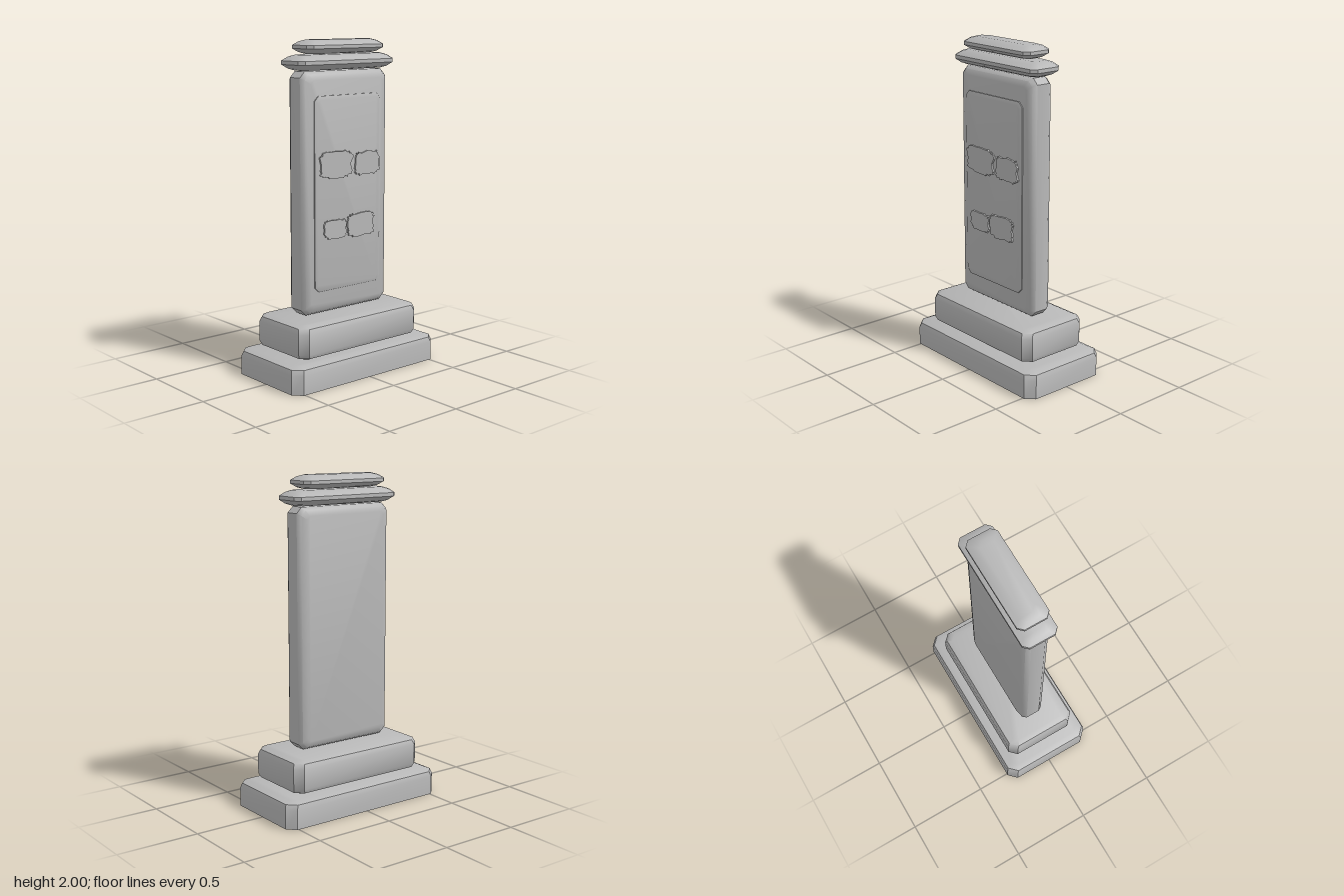
import * as THREE from 'three';
import { toCreasedNormals } from 'three/addons/utils/BufferGeometryUtils.js';

const stone = new THREE.MeshStandardMaterial({ color: 0xb8b8b8, side: THREE.DoubleSide });
stone.name = 'grey stone';

// Stacks rectangles with cut corners; each row is [y, half width, half depth, corner cut]
function loft(rows, openBottom = false) {
  const pos = [], idx = [];
  for (const [y, w, d, c] of rows) {
    const ring = [[w - c, d], [w, d - c], [w, c - d], [w - c, -d], [c - w, -d], [-w, c - d], [-w, d - c], [c - w, d]];
    for (const [x, z] of ring) pos.push(x, y, z);
  }
  const top = (rows.length - 1) * 8;
  for (let r = 0; r < top; r += 8) {
    for (let i = 0; i < 8; i++) {
      const j = (i + 1) % 8;
      idx.push(r + i, r + j, r + 8 + j, r + i, r + 8 + j, r + 8 + i);
    }
  }
  for (let i = 1; i < 7; i++) {
    idx.push(top, top + i, top + i + 1);
    if (!openBottom) idx.push(0, i + 1, i);
  }
  const g = new THREE.BufferGeometry();
  g.setAttribute('position', new THREE.Float32BufferAttribute(pos, 3));
  g.setIndex(idx);
  return toCreasedNormals(g, 0.65);
}

// Small repeatable noise for the worn edges
function seeded(seed) {
  return () => (seed = (seed * 16807) % 2147483647) / 2147483647;
}

// Worn raised patch with a ragged outline
function patch(x0, x1, y0, y1, seed) {
  const rnd = seeded(seed), n = 44, pts = [];
  const cx = (x0 + x1) / 2, cy = (y0 + y1) / 2;
  for (let i = 0; i < n; i++) {
    const a = (i / n) * Math.PI * 2, c = Math.cos(a), s = Math.sin(a);
    const k = 0.83 + 0.17 * rnd();
    pts.push(new THREE.Vector2(
      cx + Math.sign(c) * Math.abs(c) ** 0.45 * (x1 - x0) / 2 * k,
      cy + Math.sign(s) * Math.abs(s) ** 0.45 * (y1 - y0) / 2 * k));
  }
  const g = new THREE.ExtrudeGeometry(new THREE.Shape(pts), { depth: 0.013, bevelEnabled: false });
  return g.translate(0, 0, 0.098);
}

export function createModel() {
  const group = new THREE.Group();
  const add = (name, geometry) => {
    const mesh = new THREE.Mesh(geometry, stone);
    mesh.name = name;
    group.add(mesh);
    return mesh;
  };

  // Hollow foot, open underneath
  add('lowerStep', loft([
    [0, 0.56, 0.295, 0.05], [0.115, 0.56, 0.295, 0.05],
    [0.145, 0.55, 0.285, 0.05], [0.16, 0.515, 0.25, 0.035],
  ], true));

  // Second step
  add('upperStep', loft([
    [0.165, 0.42, 0.19, 0.03], [0.178, 0.452, 0.222, 0.045], [0.205, 0.463, 0.235, 0.045],
    [0.325, 0.463, 0.235, 0.045], [0.355, 0.452, 0.222, 0.045], [0.37, 0.42, 0.19, 0.03],
  ]));

  // Upright slab with bevelled faces, stacked front to back
  const slab = loft([
    [-0.082, 0.28, 0.67, 0.02], [-0.07, 0.312, 0.703, 0.03], [-0.045, 0.328, 0.72, 0.035],
    [0.045, 0.328, 0.72, 0.035], [0.07, 0.312, 0.703, 0.03], [0.085, 0.28, 0.67, 0.02],
  ]);
  add('slab', slab.rotateX(Math.PI / 2).translate(0, 1.1, 0));

  // Raised panel on the front
  const panel = loft([
    [0.075, 0.255, 0.58, 0.03], [0.092, 0.255, 0.58, 0.03], [0.1, 0.235, 0.558, 0.02],
  ]);
  add('frontPanel', panel.rotateX(Math.PI / 2).translate(-0.003, 1.1, 0));

  // Worn relief patches on the panel
  const patches = [
    [-0.24, 0.025, 1.19, 1.36], [0.03, 0.24, 1.19, 1.34],
    [-0.205, -0.02, 0.83, 0.95], [-0.03, 0.2, 0.82, 0.97],
  ];
  patches.forEach((p, i) => add('wornRelief' + (i + 1), patch(...p, 311 + i * 97)));

  // Two cushion-shaped caps
  const cap = (name, y0, y1, w, d) => {
    const h = y1 - y0;
    const profile = [[0, 0.06], [0.13, 0.03], [0.38, 0.004], [0.62, 0.004], [0.87, 0.03], [1, 0.06]];
    add(name, loft(profile.map(([t, inset]) => [y0 + t * h, w - inset, d - inset, 0.03])));
  };
  cap('lowerCap', 1.825, 1.915, 0.37, 0.112);
  cap('upperCap', 1.918, 2.0, 0.298, 0.102);

  return group;
}
